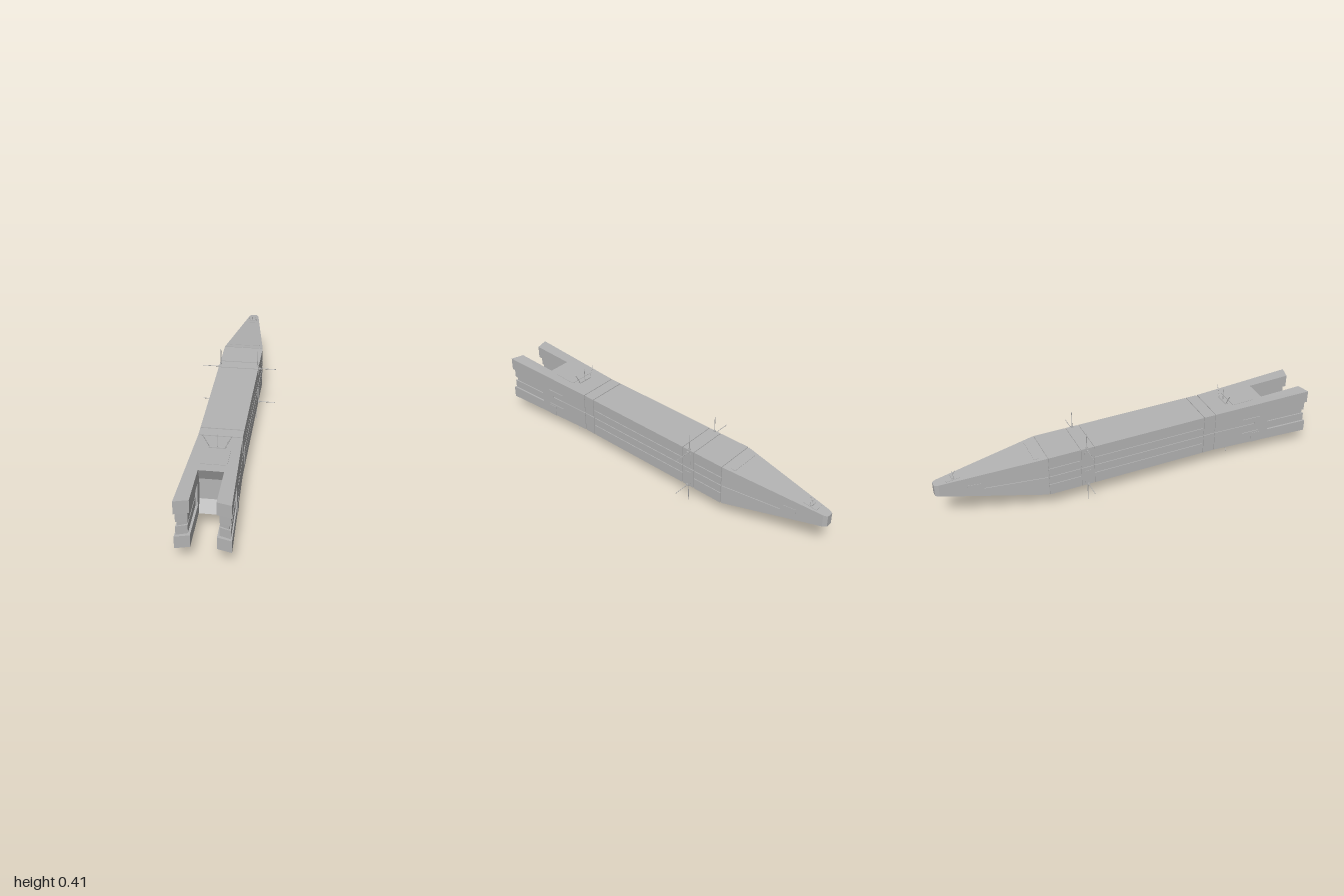
import * as THREE from 'three';
import { mergeGeometries } from 'three/addons/utils/BufferGeometryUtils.js';

// Hull outline along z: half width, bottom and top
const STATIONS = [
  [-1, 0.017, 0.205, 0.265],
  [-0.98, 0.026, 0.201, 0.267],
  [-0.46, 0.104, 0.099, 0.318],
  [0.455, 0.104, 0.099, 0.318],
  [1, 0.125, 0.085, 0.331],
];
function hullAt(z) {
  let i = 0;
  while (i < STATIONS.length - 2 && z > STATIONS[i + 1][0]) i++;
  const a = STATIONS[i], b = STATIONS[i + 1];
  const t = (z - a[0]) / (b[0] - a[0]);
  const mix = (k) => a[k] + (b[k] - a[k]) * t;
  return { w: mix(1), lo: mix(2), hi: mix(3) };
}

// Rectangle at one z; zr is the z of its right-hand edge when the end is slanted
const quad = (x0, x1, y0, y1, z, zr = z) =>
  [[x0, y0, z], [x1, y0, zr], [x1, y1, zr], [x0, y1, z]];

// Flat-sided solid lofted through quads ordered from back to front
function loft(...rings) {
  const pos = [];
  const face = (a, b, c, d) => pos.push(...a, ...b, ...c, ...a, ...c, ...d);
  for (let r = 0; r < rings.length - 1; r++) {
    const a = rings[r], b = rings[r + 1];
    for (let i = 0; i < 4; i++) {
      const j = (i + 1) % 4;
      face(a[i], a[j], b[j], b[i]);
    }
  }
  const a = rings[0], b = rings[rings.length - 1];
  face(a[3], a[2], a[1], a[0]);
  face(b[0], b[1], b[2], b[3]);
  const g = new THREE.BufferGeometry();
  g.setAttribute('position', new THREE.Float32BufferAttribute(pos, 3));
  g.computeVertexNormals();
  return g;
}

export function createModel() {
  const model = new THREE.Group();
  const grey = new THREE.MeshStandardMaterial({ color: 0xb4b4b4 });
  grey.name = 'hull grey';
  const add = (name, geos) => {
    const mesh = new THREE.Mesh(mergeGeometries(geos), grey);
    mesh.name = name;
    model.add(mesh);
  };

  // Inset core that shows at the bottom of the panel grooves
  add('hullCore', [loft(...[-0.97, -0.46, 0.455, 0.72].map((z) => {
    const h = hullAt(z), d = 0.004;
    return quad(-h.w + d, h.w - d, h.lo + d, h.hi - d, z);
  }))]);

  // Armour blocks: [back z, front z, groove heights with half thickness]
  const MID = [0.21, 0.005], LOW = [0.16, 0.002], HIGH = [0.255, 0.002];
  const g = 0.003;
  const sections = [
    [-1, -0.98, []],
    [-0.98, -0.77, []],
    [-0.77, -0.46 - g, [MID]],
    [-0.46 + g, -0.29 - g, [LOW, MID, HIGH]],
    [-0.29 + g, -0.22 - g, [MID]],
    [-0.22 + g, 0.39 - g, [LOW, MID, HIGH]],
    [0.39 + g, 0.455 - g, [MID]],
    [0.455 + g, 0.62, [MID]],
    [0.62, 0.69, [LOW, MID, [0.245, 0.002]]],
    [0.69, 0.72, [LOW, [0.245, 0.002]]],
  ];
  const blocks = [];
  for (const [z0, z1, cuts] of sections) {
    const a = hullAt(z0), b = hullAt(z1);
    for (let i = 0; i <= cuts.length; i++) {
      const under = cuts[i - 1], over = cuts[i];
      const ring = (h, z) => quad(-h.w, h.w,
        under ? under[0] + under[1] : h.lo, over ? over[0] - over[1] : h.hi, z);
      blocks.push(loft(ring(a, z0), ring(b, z1)));
    }
  }
  add('hullBlocks', blocks);

  // Overhanging lips of the stern notch
  const n0 = hullAt(0.72), n1 = hullAt(0.752), nx = 0.059;
  const topLip = quad(-nx, nx, 0.26, n1.hi, 0.752);
  topLip[0][2] = topLip[1][2] = 0.7205;
  const lowLip = quad(-nx, nx, n1.lo, 0.152, 0.752);
  lowLip[2][2] = lowLip[3][2] = 0.7205;
  add('notchLips', [
    loft(quad(-nx, nx, 0.26, n0.hi, 0.72), topLip),
    loft(quad(-nx, nx, n0.lo, 0.152, 0.72), lowLip),
  ]);

  // Stern prongs: upper and lower arms, with a stepped recess between them
  const prongs = [];
  for (const s of [-1, 1]) {
    const bar = (inner, inset, y0, y1, za, zb, slant = 0.018) => {
      const a = hullAt(za), b = hullAt(zb);
      const ring = (h, z, cut) => {
        const lo = y0 ?? h.lo, hi = y1 ?? h.hi;
        return s > 0 ? quad(inner, h.w - inset, lo, hi, z - cut, z)
          : quad(-h.w + inset, -inner, lo, hi, z, z - cut);
      };
      prongs.push(loft(ring(a, za, 0), ring(b, zb, slant)));
    };
    bar(0.058, 0, 0.265, null, 0.72, 1);
    bar(0.058, 0, null, 0.147, 0.72, 1);
    bar(0.058, 0, 0.147, 0.265, 0.72, 0.77, 0);
    bar(0.068, 0.006, 0.217, 0.262, 0.77, 0.99);
    bar(0.068, 0.006, 0.15, 0.194, 0.77, 0.99);
    bar(0.07, 0.012, 0.147, 0.265, 0.77, 0.982);
  }
  add('sternProngs', prongs);

  // Thin plates that follow the hull surface
  const t = 0.002;
  const deckPlate = (x, z0, z1, up = true) => loft(...[z0, z1].map((z) => {
    const h = hullAt(z);
    return up ? quad(-x, x, h.hi - t, h.hi + t, z) : quad(-x, x, h.lo - t, h.lo + t, z);
  }));
  const sidePlates = (z0, z1, y0, y1) => [-1, 1].map((s) => loft(...[z0, z1].map((z) => {
    const w = hullAt(z).w * s;
    return quad(w - t, w + t, y0, y1, z);
  })));
  add('deckHatches', [
    deckPlate(0.065, 0.58, 0.7), deckPlate(0.065, 0.58, 0.7, false),
    deckPlate(0.08, -0.52, -0.495), deckPlate(0.022, -0.94, -0.87),
  ]);
  add('sidePanels', [
    ...sidePlates(-0.272, -0.238, 0.235, 0.3),
    ...sidePlates(-0.272, -0.238, 0.115, 0.185),
    ...sidePlates(0.675, 0.725, 0.092, 0.148),
    ...sidePlates(-0.85, -0.785, 0.213, 0.238),
  ]);

  // Antennas
  const rods = [], mounts = [];
  const rod = (from, to, r = 0.002) => {
    const a = new THREE.Vector3(...from), d = new THREE.Vector3(...to).sub(a);
    const geo = new THREE.CylinderGeometry(r * 0.8, r, d.length(), 6);
    geo.applyQuaternion(new THREE.Quaternion().setFromUnitVectors(
      new THREE.Vector3(0, 1, 0), d.clone().normalize()));
    geo.translate(...a.addScaledVector(d, 0.5).toArray());
    rods.push(geo.toNonIndexed());
  };
  const mount = (w, h, d, x, y, z) =>
    mounts.push(new THREE.BoxGeometry(w, h, d).translate(x, y, z));

  // Four corner pairs amidships
  const za = -0.255;
  for (const s of [-1, 1]) {
    for (const [deck, tip, side] of [[0.318, 0.405, 0.304], [0.099, 0, 0.103]]) {
      rod([s * 0.097, deck, za], [s * 0.097, tip, za]);
      rod([s * 0.1, side, za], [s * 0.195, side, za]);
      mount(0.008, 0.012, 0.012, s * 0.097, deck, za);
      mount(0.012, 0.008, 0.012, s * 0.104, side, za);
    }
  }
  // Fans of three above and below the stern
  const zb = 0.555, hb = hullAt(zb);
  for (const [deck, d] of [[hb.hi, 1], [hb.lo, -1]]) {
    rod([0, deck, zb], [0, deck + d * 0.07, zb]);
    for (const s of [-1, 1]) rod([s * 0.034, deck, zb], [s * 0.065, deck + d * 0.059, zb]);
    mount(0.08, 0.008, 0.014, 0, deck, zb);
  }
  // Small cluster on the bow
  const bow = hullAt(-0.905).hi;
  mount(0.034, 0.012, 0.014, 0, bow, -0.905);
  for (const s of [-1, 1]) rod([s * 0.013, bow, -0.9], [s * 0.018, bow + 0.022, -0.9], 0.0015);
  rod([0, bow, -0.91], [0, bow + 0.035, -0.89], 0.0015);
  add('antennas', rods);
  add('antennaMounts', mounts);

  return model;
}
